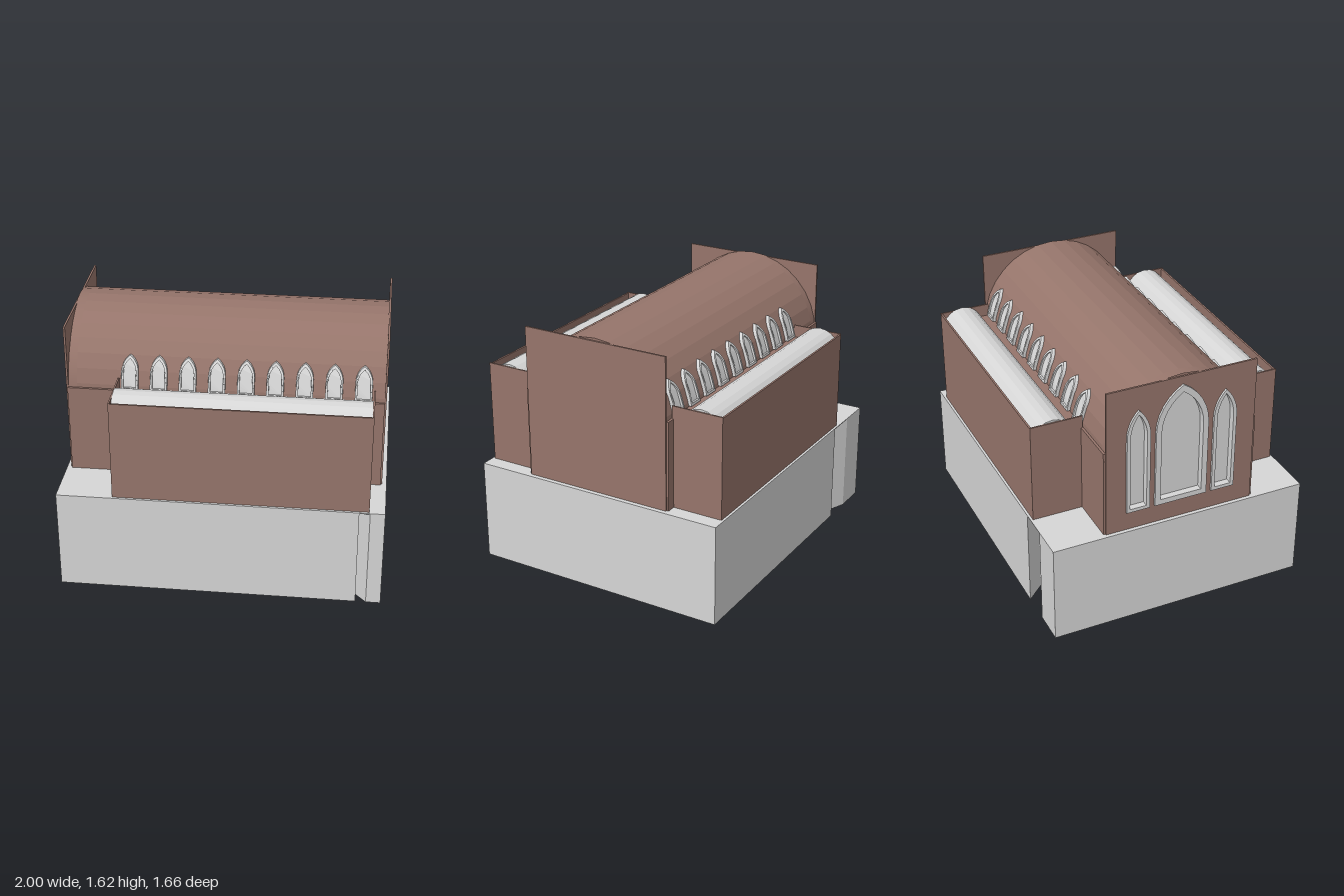
import * as THREE from 'three';

const stone = new THREE.MeshStandardMaterial({ color: 0xd6d6d6 });
stone.name = 'paleStone';
const brick = new THREE.MeshStandardMaterial({ color: 0x96756b });
brick.name = 'brownBrick';

const BASE_TOP = 0.645;
const ROOF_R = 0.485, ROOF_Y = 1.14;

function add(parent, name, geometry, material) {
  const mesh = new THREE.Mesh(geometry, material);
  mesh.name = name;
  parent.add(mesh);
  return mesh;
}

// Box given by its minimum and maximum on each axis
function box(parent, name, material, x0, x1, y0, y1, z0, z1) {
  const g = new THREE.BoxGeometry(x1 - x0, y1 - y0, z1 - z0);
  g.translate((x0 + x1) / 2, (y0 + y1) / 2, (z0 + z1) / 2);
  return add(parent, name, g, material);
}

const extrude = (shape, depth) =>
  new THREE.ExtrudeGeometry(shape, { depth, bevelEnabled: false, curveSegments: 8 });

// Half barrel running along x, closed at both ends
function barrel(parent, name, material, r, x0, x1, y, z, segments) {
  const pts = [];
  for (let i = 0; i <= segments; i++) {
    const a = (i / segments) * Math.PI;
    pts.push(new THREE.Vector2(Math.cos(a) * r, Math.sin(a) * r));
  }
  const g = extrude(new THREE.Shape(pts), x1 - x0);
  g.rotateY(Math.PI / 2);
  g.translate(x0, y, z);
  return add(parent, name, g, material);
}

// Outline of a pointed arch with subdivided jambs
function archPoints(cx, halfWidth, bottom, spring, top) {
  const h = top - spring;
  const R = (halfWidth * halfWidth + h * h) / (2 * halfWidth);
  const sweep = Math.asin(Math.min(1, h / R));
  const right = [];
  for (let i = 0; i < 4; i++) right.push([halfWidth, bottom + (spring - bottom) * i / 4]);
  for (let i = 0; i < 6; i++) {
    const a = sweep * i / 6;
    right.push([halfWidth - R + R * Math.cos(a), spring + R * Math.sin(a)]);
  }
  const left = right.map(([x, y]) => [-x, y]).reverse();
  return [...right, [0, top], ...left].map(([x, y]) => new THREE.Vector2(cx + x, y));
}

function archRing(cx, hw, bottom, spring, top, t) {
  const ring = new THREE.Shape(archPoints(cx, hw, bottom, spring, top));
  ring.holes.push(new THREE.Path(archPoints(cx, hw - t, bottom + t, spring, top - t * 1.3)));
  return ring;
}

// Push a flat plate outward so that it follows the nave vault
function bendToVault(geometry, offset) {
  const p = geometry.attributes.position;
  for (let i = 0; i < p.count; i++) {
    const dy = p.getY(i) - ROOF_Y;
    p.setZ(i, p.getZ(i) + offset + Math.sqrt(ROOF_R * ROOF_R - dy * dy));
  }
  geometry.computeVertexNormals();
  return geometry;
}

// Plinth: two blocks parted by a narrow diagonal channel, with slits cut from below
function buildPlinth() {
  const plinth = new THREE.Group();
  plinth.name = 'plinth';
  const vec = list => list.map(([x, z]) => new THREE.Vector2(x, z));
  const slit = (line, w) =>
    new THREE.Path(vec([...line, ...line.map(([x, z]) => [x + w, z]).reverse()]));
  const block = (name, outline, slits) => {
    const s = new THREE.Shape(vec(outline));
    s.holes.push(...slits);
    const g = extrude(s, BASE_TOP - 0.005);
    g.rotateX(Math.PI / 2);
    g.translate(0, BASE_TOP - 0.005, 0);
    add(plinth, name, g, stone);
  };
  block('plinthBackBlock', [[1, -0.83], [-0.6, -0.83], [0.91, 0.83], [1, 0.83]], [
    slit([[0.87, -0.24], [0.68, -0.48]], 0.05),
    slit([[0.76, 0.38], [0.52, 0.145]], 0.05),
    slit([[0.37, -0.21], [0.21, -0.4]], 0.05),
  ]);
  block('plinthFrontBlock',
    [[-1, -0.83], [-0.79, -0.83], [-0.66, -0.78], [0.845, 0.83], [-1, 0.83]], [
      slit([[-0.03, 0.55], [-0.07, 0.18]], 0.04),
      slit([[-0.56, 0.56], [-0.52, 0.25], [-0.52, -0.05], [-0.55, -0.3], [-0.62, -0.5]], 0.07),
    ]);
  box(plinth, 'plinthTop', stone, -1, 1, BASE_TOP - 0.006, BASE_TOP, -0.83, 0.83);
  return plinth;
}

// One aisle with its barrel roof and the row of windows above it (centred on its own x)
function buildAisle() {
  const aisle = new THREE.Group();
  const L = 0.78;
  box(aisle, 'aisleOuterWall', brick, -L, L, BASE_TOP, 1.285, 0.803, 0.815);
  for (const s of [-1, 1]) {
    const x = s * (L - 0.005);
    box(aisle, 'aisleEndWall', brick, x - 0.005, x + 0.005, BASE_TOP, 1.29, 0.485, 0.815);
  }
  box(aisle, 'aisleInnerWall', brick, -L + 0.01, L - 0.01, BASE_TOP, 1.21, 0.485, 0.542);
  barrel(aisle, 'aisleRoof', stone, 0.134, -L + 0.01, L - 0.01, 1.17, 0.672, 10);

  for (let i = 0; i < 9; i++) {
    const x = (i - 4) * 0.177;
    const win = new THREE.Group();
    win.name = 'clerestoryWindow';
    win.position.x = x;
    add(win, 'windowFrame',
      bendToVault(extrude(archRing(0, 0.052, 1.215, 1.325, 1.415, 0.014), 0.03), -0.01), stone);
    add(win, 'windowPane',
      bendToVault(extrude(new THREE.Shape(archPoints(0, 0.04, 1.225, 1.325, 1.4)), 0.008), 0), stone);
    box(win, 'windowSill', stone, -0.04, 0.04, 1.215, 1.23, 0.465, 0.495);
    aisle.add(win);
  }
  return aisle;
}

// Nave with vault, side walls, plain east gable and west gable with three tall windows
function buildNave() {
  const nave = new THREE.Group();
  nave.name = 'nave';
  barrel(nave, 'naveVault', brick, ROOF_R, -0.91, 0.96, ROOF_Y, 0, 16);
  barrel(nave, 'naveVaultEdge', brick, ROOF_R, -0.912, -0.909, ROOF_Y, 0, 16);
  for (const s of [-1, 1]) {
    const z = s * 0.4875;
    box(nave, 'naveSideWall', brick, -0.967, 0.962, BASE_TOP, 1.21, z - 0.0075, z + 0.0075);
  }
  box(nave, 'plainGable', brick, 0.96, 0.972, BASE_TOP, 1.61, -0.482, 0.482);

  // Short vault shell that reaches the window gable
  const shell = new THREE.CylinderGeometry(ROOF_R, ROOF_R, 0.06, 16, 1, true, 0, Math.PI);
  shell.rotateZ(Math.PI / 2);
  shell.translate(-0.94, ROOF_Y, 0);
  const shellMaterial = brick.clone();
  shellMaterial.side = THREE.DoubleSide;
  add(nave, 'naveVaultEnd', shell, shellMaterial);

  // Window gable, drawn facing +z and then turned to face -x
  const gable = new THREE.Group();
  gable.name = 'windowGable';
  gable.rotation.y = -Math.PI / 2;
  const wall = new THREE.Shape([[-0.482, BASE_TOP], [0.482, BASE_TOP], [0.482, 1.61], [-0.482, 1.61]]
    .map(([x, y]) => new THREE.Vector2(x, y)));
  const windows = [
    [-0.28, 0.075, 1.28, 1.46, 0.022],
    [0, 0.17, 1.27, 1.56, 0.035],
    [0.28, 0.075, 1.28, 1.46, 0.022],
  ];
  for (const [cx, hw, spring, top, t] of windows) {
    wall.holes.push(new THREE.Path(archPoints(cx, hw - 0.01, 0.78, spring, top - 0.012)));
    const frame = extrude(archRing(cx, hw, 0.77, spring, top, t), 0.065);
    frame.translate(0, 0, 0.925);
    add(gable, 'tallWindowFrame', frame, stone);
    const pane = extrude(new THREE.Shape(archPoints(cx, hw - 0.01, 0.78, spring, top - 0.012)), 0.008);
    pane.translate(0, 0, 0.94);
    add(gable, 'tallWindowPane', pane, stone);
  }
  const wallGeometry = extrude(wall, 0.012);
  wallGeometry.translate(0, 0, 0.964);
  add(gable, 'gableWall', wallGeometry, brick);
  nave.add(gable);
  return nave;
}

export function createModel() {
  const model = new THREE.Group();
  model.name = 'church';
  model.add(buildPlinth(), buildNave());
  for (const [name, turn] of [['frontAisle', 0], ['backAisle', Math.PI]]) {
    const aisle = buildAisle();
    aisle.name = name;
    aisle.position.x = 0.125;
    aisle.rotation.y = turn;
    model.add(aisle);
  }
  return model;
}
